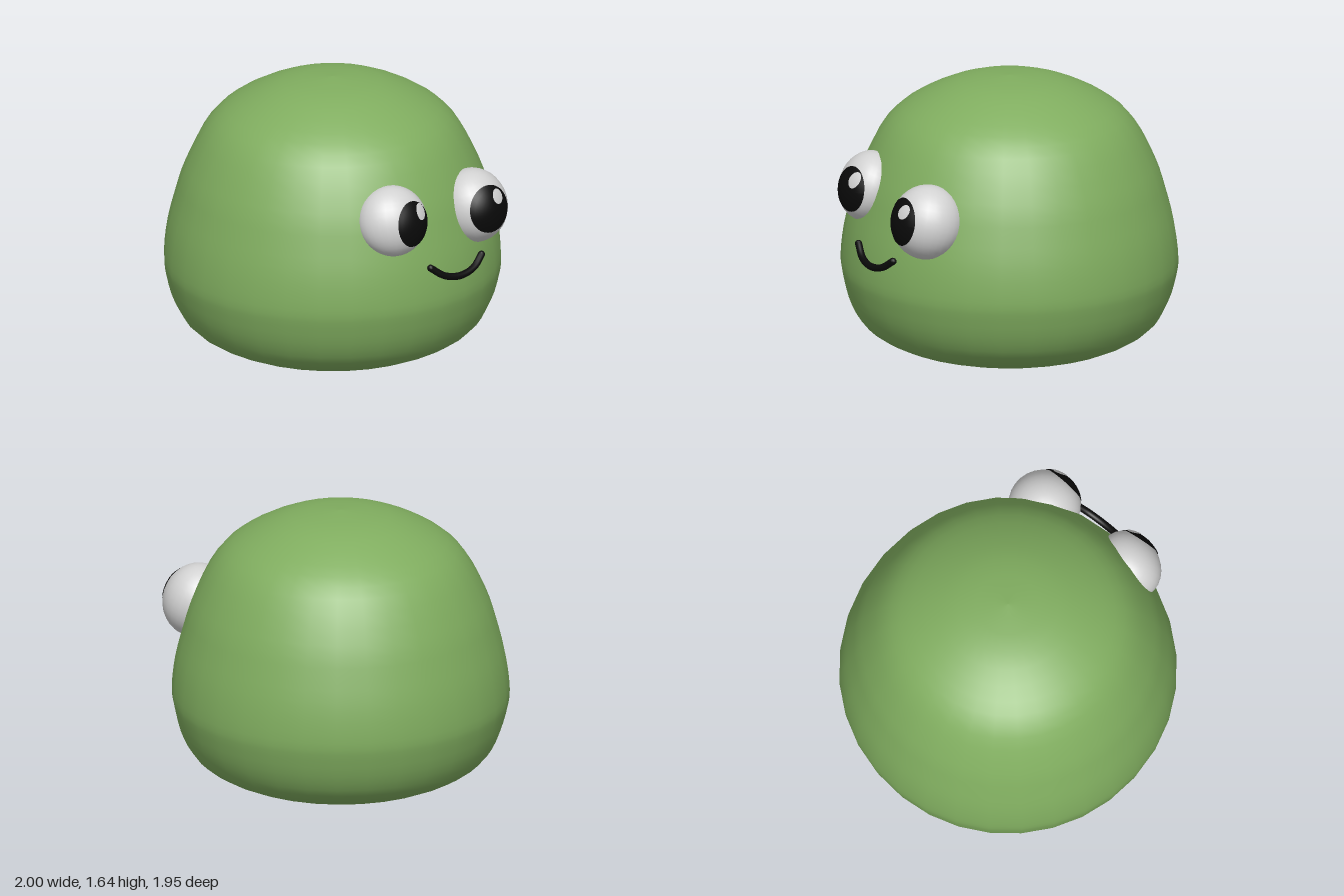
import * as THREE from 'three';

const mat = (name, color, side = THREE.FrontSide) => {
  const m = new THREE.MeshStandardMaterial({ color, side });
  m.name = name;
  return m;
};

export function createModel() {
  const green = mat('green skin', 0x80ad5f);
  const white = mat('eye white', 0xd2d2d2, THREE.DoubleSide);
  const black = mat('black', 0x0a0a0a, THREE.DoubleSide);
  const model = new THREE.Group();
  const add = (name, geometry, material, parent = model) => {
    const mesh = new THREE.Mesh(geometry, material);
    mesh.name = name;
    parent.add(mesh);
    return mesh;
  };

  // Body: a soft dome with a rounded, slightly bulging base
  const profile = new THREE.SplineCurve([
    [0, 0.01], [0.29, 0.022], [0.6, 0.055], [0.82, 0.155], [0.917, 0.29],
    [0.965, 0.45], [0.977, 0.56], [0.957, 0.74], [0.91, 0.93], [0.85, 1.115],
    [0.725, 1.355], [0.555, 1.5], [0.29, 1.615], [0, 1.648],
  ].map(([r, y]) => new THREE.Vector2(r, y))).getPoints(39);
  profile[0].x = profile[39].x = 0;
  add('body', new THREE.LatheGeometry(profile, 32), green).position.x = -0.025;

  // Round patch that follows the eye surface, laid on along the x axis
  const patch = (toWorld, y, z, ry, rz, lift) => {
    const toLocal = toWorld.clone().invert();
    const unit = new THREE.Sphere(new THREE.Vector3(), 1);
    const g = new THREE.RingGeometry(0.0001, 1, 32, 6);
    const p = g.attributes.position;
    const hit = new THREE.Vector3();
    for (let i = 0; i < p.count; i++) {
      const py = y + p.getY(i) * ry, pz = z - p.getX(i) * rz;
      const ray = new THREE.Ray(new THREE.Vector3(3, py, pz), new THREE.Vector3(-1, 0, 0));
      ray.applyMatrix4(toLocal);
      if (ray.intersectSphere(unit, hit)) hit.applyMatrix4(toWorld);
      else hit.set(0.85, py, pz);
      p.setXYZ(i, hit.x + lift, py, pz);
    }
    g.computeVertexNormals();
    return g;
  };

  // Eyes: flattened balls set into the body, each with a pupil and a glint
  const eyes = [
    { name: 'leftEye', at: [0.785, 1.045, 0.237], dir: [0.88, 0.33, 0.31], size: [0.207, 0.207, 0.168],
      pupil: [1.055, 0.197, 0.132, 0.122], glint: [1.122, 0.146, 0.045, 0.038] },
    { name: 'rightEye', at: [0.768, 0.985, -0.393], dir: [0.83, 0.28, -0.47], size: [0.21, 0.218, 0.198],
      pupil: [1.008, -0.38, 0.138, 0.137], glint: [1.08, -0.427, 0.04, 0.04] },
  ];
  for (const e of eyes) {
    const eye = new THREE.Group();
    eye.name = e.name;
    model.add(eye);
    const ball = add('eyeball', new THREE.SphereGeometry(1, 28, 18), white, eye);
    ball.position.set(...e.at);
    ball.lookAt(ball.position.clone().add(new THREE.Vector3(...e.dir)));
    ball.scale.set(...e.size);
    ball.updateMatrix();
    add('pupil', patch(ball.matrix, ...e.pupil, 0.005), black, eye);
    add('glint', patch(ball.matrix, ...e.glint, 0.009), white, eye);
  }

  // Mouth: a curved smile with rounded ends
  const smile = new THREE.CatmullRomCurve3([
    [0.945, 0.76, 0.08], [0.97, 0.7, -0.005], [0.98, 0.677, -0.113],
    [0.97, 0.698, -0.225], [0.945, 0.752, -0.305],
  ].map((p) => new THREE.Vector3(...p)));
  add('mouth', new THREE.TubeGeometry(smile, 28, 0.021, 10), black);
  for (const t of [0, 1]) {
    add('mouthEnd', new THREE.SphereGeometry(0.021, 10, 8), black).position.copy(smile.getPoint(t));
  }
  return model;
}
